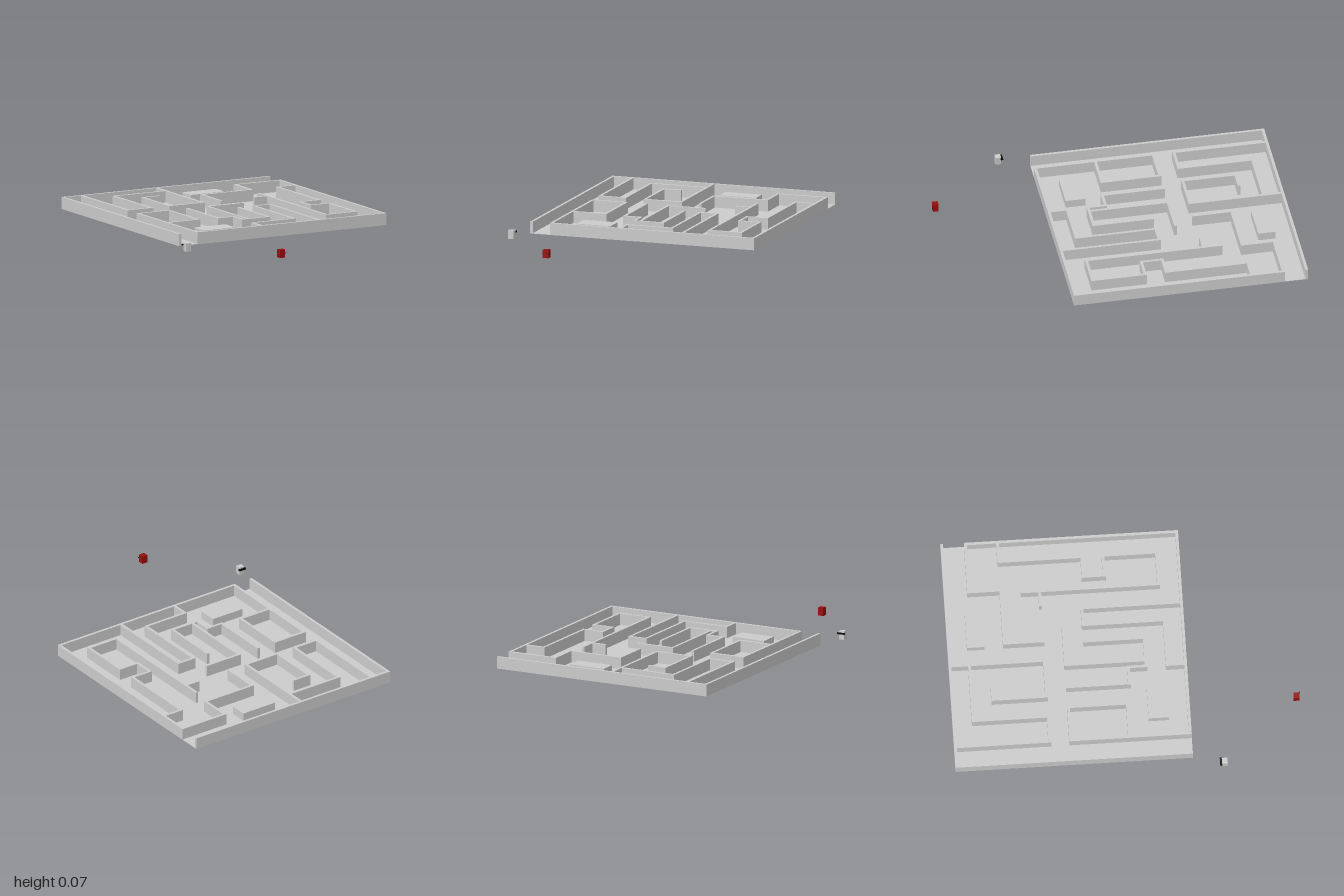
import * as THREE from 'three';

const WALL_T = 0.016, WALL_H = 0.07;
const grey = new THREE.MeshStandardMaterial({ color: 0xcccccc, flatShading: true });
const red = new THREE.MeshStandardMaterial({ color: 0x990d0d, flatShading: true });
const black = new THREE.MeshStandardMaterial({ color: 0x080808, flatShading: true });

// Box given by its minimum and maximum corners
function box(name, [x0, y0, z0], [x1, y1, z1], material = grey) {
  const mesh = new THREE.Mesh(new THREE.BoxGeometry(x1 - x0, y1 - y0, z1 - z0), material);
  mesh.position.set((x0 + x1) / 2, (y0 + y1) / 2, (z0 + z1) / 2);
  mesh.name = name;
  return mesh;
}

// Right-angled wall following a centre line of [x, z] points, with mitred corners
function wall(name, path) {
  const pts = path.map(([x, z]) => new THREE.Vector2(x, -z));
  const normals = pts.slice(1).map((p, i) => {
    const d = p.clone().sub(pts[i]).normalize();
    return new THREE.Vector2(-d.y, d.x).multiplyScalar(WALL_T / 2);
  });
  const offsets = pts.map((p, i) => {
    if (i === 0) return normals[0];
    if (i === pts.length - 1) return normals[i - 1];
    return normals[i - 1].clone().add(normals[i]);
  });
  const leftEdge = pts.map((p, i) => p.clone().add(offsets[i]));
  const rightEdge = pts.map((p, i) => p.clone().sub(offsets[i])).reverse();
  const geometry = new THREE.ExtrudeGeometry(new THREE.Shape([...leftEdge, ...rightEdge]),
    { depth: WALL_H, bevelEnabled: false });
  geometry.rotateX(-Math.PI / 2);
  const mesh = new THREE.Mesh(geometry, grey);
  mesh.name = name;
  return mesh;
}

// Thin rod between two points
function rod(name, a, b, radius, material) {
  const from = new THREE.Vector3(...a), dir = new THREE.Vector3(...b).sub(from);
  const mesh = new THREE.Mesh(new THREE.CylinderGeometry(radius, radius, dir.length(), 6), material);
  mesh.position.copy(from).addScaledVector(dir, 0.5);
  mesh.quaternion.setFromUnitVectors(new THREE.Vector3(0, 1, 0), dir.normalize());
  mesh.name = name;
  return mesh;
}

function createMaze() {
  const maze = new THREE.Group();
  maze.name = 'maze';
  maze.add(box('floor', [-0.65, 0, -1], [0.716, 0.003, 0.365]));

  // Outer walls, open at the front left and back right corners
  maze.add(wall('outerWallBackLeft', [[0.716, -0.992], [-0.642, -0.992], [-0.642, 0.365]]));
  maze.add(wall('outerWallFrontRight', [[-0.53, 0.357], [0.708, 0.357], [0.708, -0.865]]));

  // Inner walls
  const paths = [
    // back left quarter
    [[-0.523, -0.985], [-0.523, -0.45], [-0.37, -0.45], [-0.37, -0.88], [-0.037, -0.88]],
    [[-0.029, -0.985], [-0.029, -0.45], [-0.248, -0.45], [-0.248, -0.759], [-0.14, -0.759]],
    // back right quarter
    [[0.09, -0.442], [0.09, -0.672], [0.415, -0.672], [0.415, -0.857], [0.7, -0.857]],
    [[0.7, -0.672], [0.589, -0.672], [0.589, -0.196], [0.468, -0.196], [0.468, -0.074],
      [0.589, -0.074], [0.589, 0.233], [0.396, 0.233], [0.396, -0.558]],
    [[0.305, -0.45], [0.388, -0.45]],
    // front left quarter
    [[-0.523, 0.349], [-0.523, -0.33], [-0.32, -0.33], [-0.32, 0.008], [-0.515, 0.008]],
    [[-0.198, -0.336], [-0.198, 0.028], [-0.099, 0.028], [-0.099, 0.13], [0.074, 0.13],
      [0.074, -0.22]],
    [[-0.063, 0.122], [-0.063, -0.33], [0.168, -0.33]],
    // front middle
    [[-0.099, 0.349], [-0.099, 0.251], [0.174, 0.251], [0.174, -0.214], [0.277, -0.214],
      [0.277, 0.349]],
  ];
  paths.forEach((path, i) => maze.add(wall('innerWall' + (i + 1), path)));

  // Solid blocks standing in the chambers
  maze.add(box('backBlock', [0.082, 0, -0.887], [0.304, 0.05, -0.787]));
  maze.add(box('frontBlock', [-0.413, 0, 0.125], [-0.206, 0.05, 0.24]));
  return maze;
}

export function createModel() {
  const model = new THREE.Group();
  model.name = 'mazeWithFigures';
  model.add(createMaze());

  // Red figure with a small stick at its side
  const redFigure = new THREE.Group();
  redFigure.name = 'redFigure';
  redFigure.add(box('redBody', [-0.342, 0.003, 0.962], [-0.308, 0.05, 0.995], red));
  redFigure.add(rod('stick', [-0.314, 0.024, 0.997], [-0.298, 0.038, 0.997], 0.0015, black));
  redFigure.add(rod('stickGuard', [-0.311, 0.034, 0.997], [-0.305, 0.027, 0.997], 0.0012, black));
  model.add(redFigure);

  // Grey figure, slightly wider at the top, with a dark bar across its back
  const greyFigure = new THREE.Group();
  greyFigure.name = 'greyFigure';
  const body = box('greyBody', [-0.715, 0.003, 0.527], [-0.68, 0.052, 0.56]);
  const pos = body.geometry.attributes.position;
  for (let i = 0; i < pos.count; i++) {
    if (pos.getY(i) < 0) pos.setX(i, pos.getX(i) * 0.9);
  }
  greyFigure.add(body);
  greyFigure.add(box('darkBar', [-0.72, 0.036, 0.516], [-0.674, 0.044, 0.53], black));
  model.add(greyFigure);
  return model;
}
